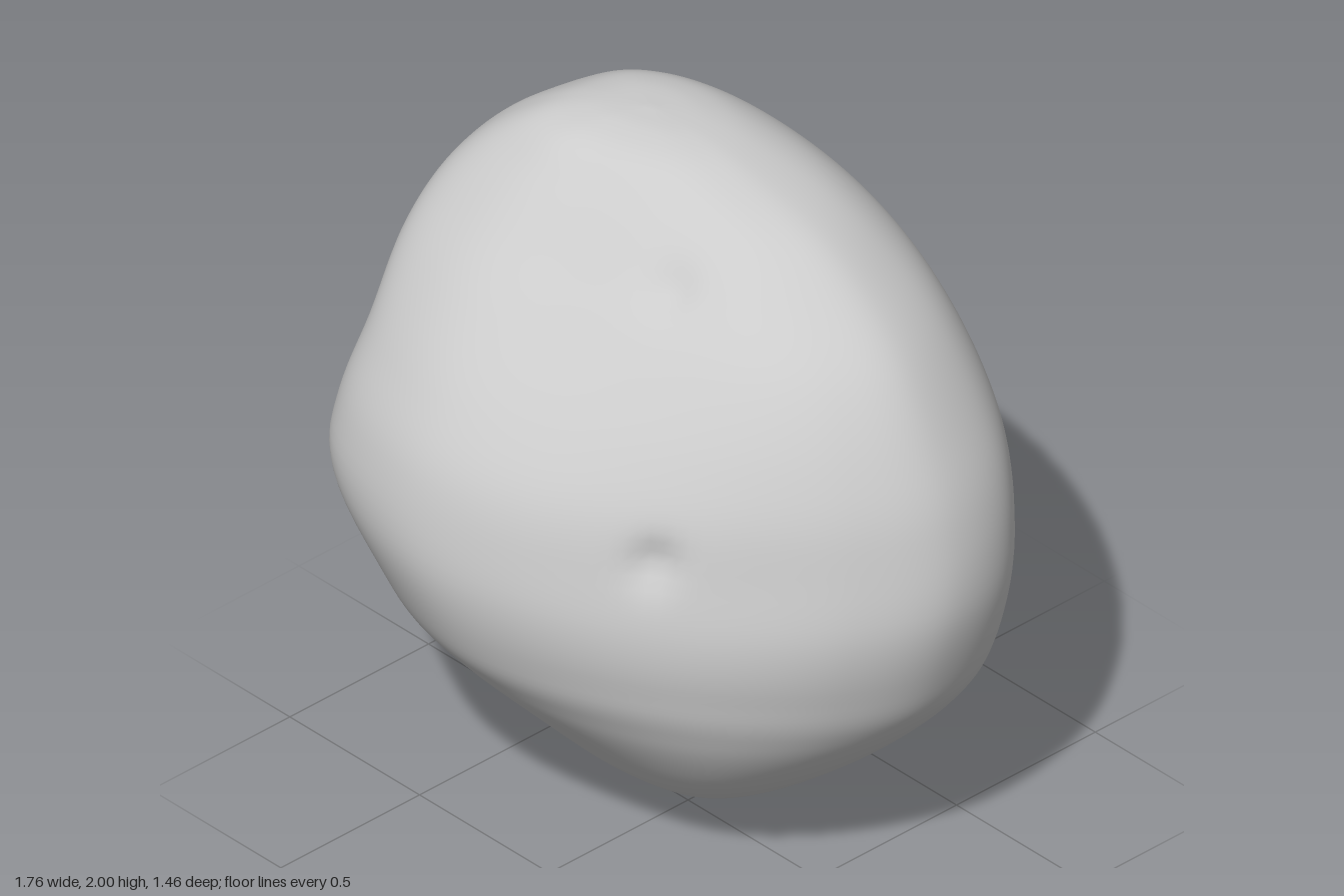
import * as THREE from 'three';
import { mergeVertices } from 'three/addons/utils/BufferGeometryUtils.js';

const { lerp, smoothstep } = THREE.MathUtils;

// Height levels of the stone: y, xMin, xMax, zMin, zMax
const LEVELS = [
  [0.00, -0.18, -0.18, -0.15, -0.15],
  [0.01, -0.24, -0.08, -0.23, -0.06],
  [0.035, -0.34, 0.02, -0.29, 0.03],
  [0.10, -0.48, 0.21, -0.39, 0.12],
  [0.20, -0.63, 0.36, -0.49, 0.24],
  [0.38, -0.82, 0.58, -0.59, 0.41],
  [0.55, -0.875, 0.74, -0.65, 0.56],
  [0.70, -0.88, 0.82, -0.69, 0.66],
  [0.95, -0.865, 0.88, -0.72, 0.73],
  [1.20, -0.83, 0.85, -0.73, 0.70],
  [1.40, -0.80, 0.77, -0.70, 0.60],
  [1.60, -0.805, 0.64, -0.64, 0.45],
  [1.75, -0.77, 0.47, -0.57, 0.31],
  [1.87, -0.68, 0.28, -0.47, 0.19],
  [1.955, -0.56, 0.04, -0.36, 0.09],
  [1.99, -0.45, -0.12, -0.26, -0.02],
  [2.00, -0.29, -0.29, -0.14, -0.14],
];

// Section outlines (x, z) in a unit box, running left, front, right, back
const LOW = [
  [-1, -0.1], [-0.92, 0.32], [-0.72, 0.66], [-0.4, 0.89], [0, 0.99], [0.35, 0.97],
  [0.64, 0.86], [0.83, 0.66], [0.96, 0.33], [1, -0.08], [0.93, -0.5], [0.69, -0.83],
  [0.22, -0.98], [-0.25, -0.99], [-0.7, -0.88], [-0.94, -0.55],
];
const BELT = [
  [-1, 0], [-0.94, 0.4], [-0.76, 0.73], [-0.52, 0.92], [-0.22, 1], [0.08, 0.94],
  [0.41, 0.76], [0.68, 0.52], [0.89, 0.21], [1, -0.15], [0.94, -0.54], [0.67, -0.83],
  [0.23, -0.98], [-0.22, -0.99], [-0.72, -0.87], [-0.95, -0.52],
];
const MIDDLE = [
  [-1, 0.1], [-0.98, 0.52], [-0.91, 0.79], [-0.7, 0.94], [-0.36, 1], [0, 0.91],
  [0.36, 0.69], [0.66, 0.43], [0.88, 0.14], [1, -0.2], [0.92, -0.56], [0.64, -0.83],
  [0.23, -0.98], [-0.2, -0.99], [-0.7, -0.86], [-0.94, -0.49],
];
const HIGH = [
  [-1, 0.25], [-0.98, 0.62], [-0.88, 0.85], [-0.67, 0.97], [-0.4, 1], [-0.05, 0.88],
  [0.36, 0.71], [0.71, 0.49], [0.92, 0.2], [1, -0.15], [0.85, -0.58], [0.58, -0.85],
  [0.2, -0.98], [-0.2, -0.97], [-0.59, -0.78], [-0.87, -0.42],
];

// Hollows: centre, radius, push
const DENTS = [
  { at: [0.37, 1.14, 0.48], radius: 0.065, push: [-0.02, 0, -0.03] },
  { at: [0.10, 1.74, 0.15], radius: 0.07, push: [0, -0.02, -0.012] },
  { at: [-0.86, 0.95, 0.12], radius: 0.26, push: [0.03, 0, 0] },
].map((d) => ({ ...d, at: new THREE.Vector3(...d.at), push: new THREE.Vector3(...d.push) }));

const spline = (pts, closed) => new THREE.CatmullRomCurve3(pts, closed, 'catmullrom', 0.5);

function stoneGeometry(rows, cols) {
  const xCurve = spline(LEVELS.map(([y, a, b]) => new THREE.Vector3(a, y, b)), false);
  const zCurve = spline(LEVELS.map(([y, , , a, b]) => new THREE.Vector3(a, y, b)), false);
  const [low, belt, middle, high] = [LOW, BELT, MIDDLE, HIGH].map((outline) => {
    const curve = spline(outline.map(([x, z]) => new THREE.Vector3(x, 0, z)), true);
    return Array.from({ length: cols }, (_, j) => curve.getPoint(j / cols));
  });

  const positions = [], index = [], p = new THREE.Vector3();
  for (let i = 0; i <= rows; i++) {
    const xs = xCurve.getPoint(i / rows), zs = zCurve.getPoint(i / rows);
    const toBelt = smoothstep(xs.y, 0.2, 0.75);
    const toMiddle = smoothstep(xs.y, 0.65, 1.12);
    const toHigh = smoothstep(xs.y, 1.1, 1.8);
    for (let j = 0; j < cols; j++) {
      // blend the outlines by height, then fit them to the level's extents
      p.lerpVectors(low[j], belt[j], toBelt).lerp(middle[j], toMiddle).lerp(high[j], toHigh);
      p.set(lerp(xs.x, xs.z, (p.x + 1) / 2), xs.y, lerp(zs.x, zs.z, (p.z + 1) / 2));
      for (const d of DENTS) {
        p.addScaledVector(d.push, Math.exp(-p.distanceToSquared(d.at) / d.radius ** 2));
      }
      positions.push(p.x, p.y, p.z);
    }
  }
  for (let i = 0; i < rows; i++) {
    for (let j = 0; j < cols; j++) {
      const k = (j + 1) % cols;
      const a = i * cols + j, b = i * cols + k, c = a + cols, d = b + cols;
      if (i > 0) index.push(a, b, d);
      if (i < rows - 1) index.push(a, d, c);
    }
  }
  let geometry = new THREE.BufferGeometry();
  geometry.setAttribute('position', new THREE.Float32BufferAttribute(positions, 3));
  geometry.setIndex(index);
  geometry = mergeVertices(geometry, 1e-5); // joins the two poles
  geometry.computeVertexNormals();
  return geometry;
}

export function createModel() {
  const group = new THREE.Group();
  group.name = 'stone';
  const body = new THREE.Mesh(
    stoneGeometry(112, 144),
    new THREE.MeshStandardMaterial({ color: 0xcccccc }),
  );
  body.name = 'stoneBody';
  group.add(body);
  return group;
}
